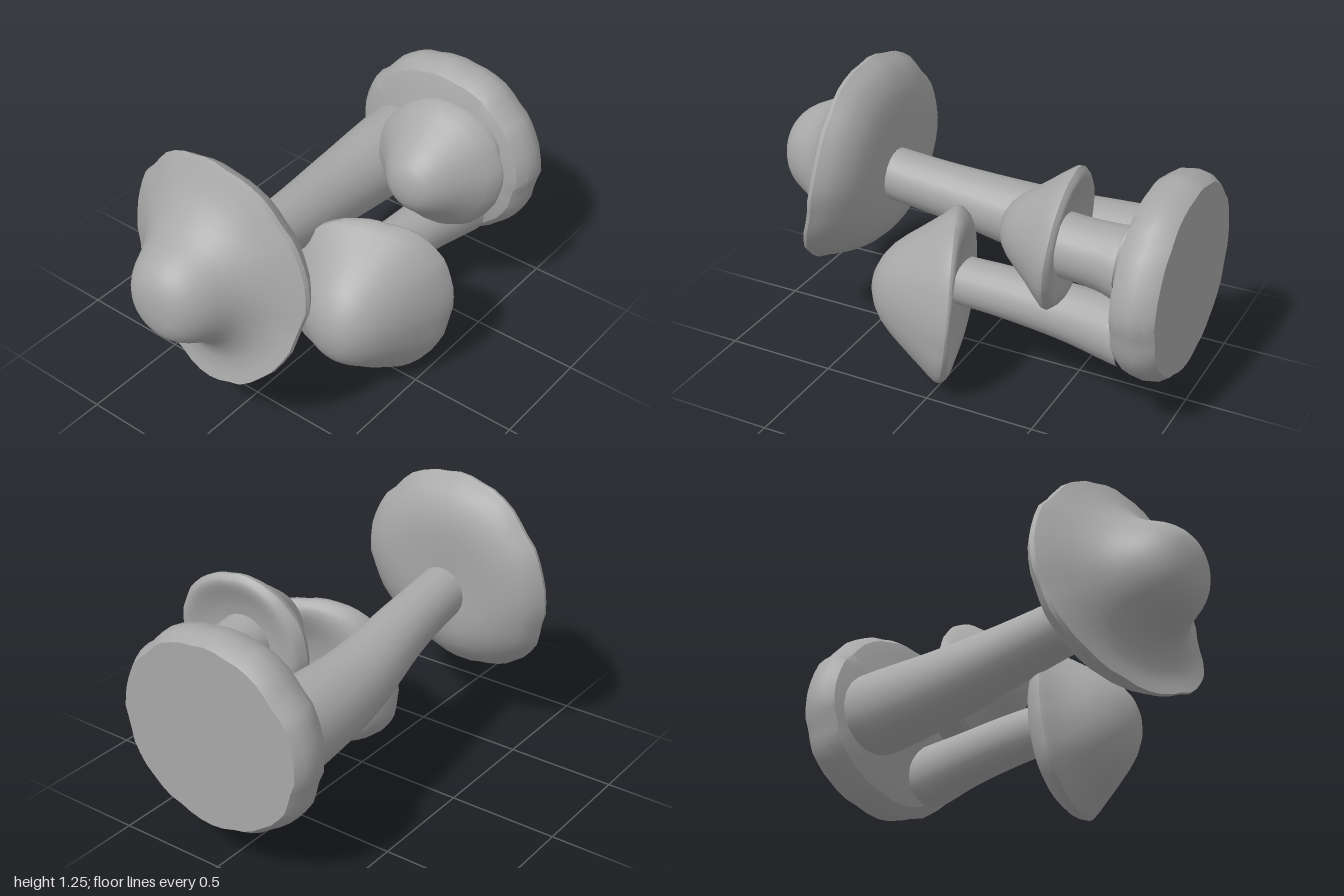
import * as THREE from 'three';
import { toCreasedNormals } from 'three/addons/utils/BufferGeometryUtils.js';

const clay = new THREE.MeshStandardMaterial({ color: 0xa8a8a8 });
clay.name = 'grey clay';

function addMesh(parent, name, geometry) {
  geometry.computeVertexNormals();
  const mesh = new THREE.Mesh(toCreasedNormals(geometry, 0.6), clay);
  mesh.name = name;
  parent.add(mesh);
}

// Turned disc along z: profile of [radius fraction, z] from back to front.
// The rim is tilted, bent forward at top and bottom, curled forward at the
// lower left, squared off and made wavy; the crown can lean sideways.
function disc({
  profile, center, radius, tilt = [0, 0], bend = 0, curl = 0, square = 0, lean = 0, wave = 0.015, phase = 0, detail = 2,
}) {
  let points = profile.map(([r, z]) => new THREE.Vector2(r, z));
  if (detail > 1) points = new THREE.SplineCurve(points).getPoints((points.length - 1) * detail);
  points.forEach((p) => { p.x = Math.max(0, p.x); });
  const geometry = new THREE.LatheGeometry(points, 48).rotateX(Math.PI / 2);
  const pos = geometry.attributes.position;
  for (let i = 0; i < pos.count; i++) {
    const ux = pos.getX(i), uy = pos.getY(i), r2 = ux * ux + uy * uy;
    const a = Math.atan2(uy, ux);
    const b = a + phase;
    const ripple = Math.sin(7 * b) * 0.5 + Math.sin(12 * b + 1) * 0.5 + Math.sin(19 * b + 2) * 0.35;
    const k = 1 + wave * ripple * r2 * r2 + square * (1 - Math.cos(4 * a)) * r2;
    const x = ux * radius[0] * k, y = uy * radius[1] * k;
    const corner = Math.max(0, Math.cos(a + 0.9)) ** 4;
    const z = pos.getZ(i) + (tilt[0] * x + tilt[1] * y + bend * uy * uy + curl * corner) * r2;
    pos.setXYZ(i, center[0] + x + lean * Math.max(0, 1 - r2), center[1] + y, z);
  }
  return geometry;
}

// Curved, tapering stalk through stations of [x, y, z, radius].
function stalk(stations) {
  const path = new THREE.CatmullRomCurve3(stations.map(([x, y, z]) => new THREE.Vector3(x, y, z)));
  const girth = new THREE.SplineCurve(stations.map((s, i) => new THREE.Vector2(i, s[3])));
  const geometry = new THREE.CylinderGeometry(1, 1, 1, 20, 14, true).rotateX(Math.PI / 2);
  const pos = geometry.attributes.position;
  for (let i = 0; i < pos.count; i++) {
    const t = THREE.MathUtils.clamp(pos.getZ(i) + 0.5, 0, 1);
    const c = path.getPoint(t), r = girth.getPoint(t).y;
    pos.setXYZ(i, c.x + pos.getX(i) * r, c.y + pos.getY(i) * r, c.z);
  }
  return geometry;
}

export function createModel() {
  const model = new THREE.Group();
  model.name = 'mushroomCluster';

  // Lumpy base with a flat back and a domed front around the stalk roots
  addMesh(model, 'base', disc({
    profile: [[0, -1], [0.92, -1], [0.98, -0.96], [1, -0.91], [0.98, -0.85], [0.91, -0.805],
      [0.75, -0.78], [0.5, -0.76], [0.25, -0.72], [0, -0.7]],
    center: [0.02, 0.61], radius: [0.475, 0.44], wave: 0.02, detail: 1,
  }));

  const mushrooms = [
    {
      name: 'large',
      stem: [[-0.18, 0.58, -0.78, 0.195], [-0.165, 0.6, -0.3, 0.165], [-0.12, 0.67, 0.15, 0.13], [-0.1, 0.715, 0.48, 0.12]],
      cap: {
        profile: [[0, 0.47], [0.35, 0.46], [0.65, 0.465], [0.88, 0.51], [0.98, 0.56], [1, 0.6],
          [0.78, 0.665], [0.6, 0.74], [0.5, 0.81], [0.42, 0.89], [0.33, 0.95], [0.2, 0.99], [0, 1]],
        center: [-0.1, 0.76], radius: [0.485, 0.49], tilt: [0.05, -0.12], bend: 0.065, curl: 0.06, wave: 0.015,
      },
    },
    {
      name: 'medium',
      stem: [[0.17, 0.37, -0.78, 0.145], [0.14, 0.38, -0.5, 0.125], [0.125, 0.39, -0.2, 0.115], [0.12, 0.39, 0.02, 0.11]],
      cap: {
        profile: [[0, 0.02], [0.4, 0], [0.7, -0.04], [0.88, -0.05], [0.98, -0.02], [1, 0.02],
          [0.88, 0.09], [0.7, 0.19], [0.5, 0.285], [0.25, 0.345], [0, 0.358]],
        center: [0.245, 0.385], radius: [0.335, 0.38], tilt: [-0.4, -0.11], bend: 0.025,
        square: 0.025, lean: 0.035, wave: 0.01, phase: 1,
      },
    },
    {
      name: 'small',
      stem: [[0.215, 0.725, -0.78, 0.16], [0.22, 0.74, -0.7, 0.145], [0.225, 0.75, -0.6, 0.138], [0.23, 0.76, -0.5, 0.138]],
      cap: {
        profile: [[0, -0.5], [0.5, -0.52], [0.75, -0.54], [0.9, -0.545], [0.98, -0.525], [1, -0.495],
          [0.73, -0.4], [0.47, -0.3], [0.25, -0.25], [0, -0.24]],
        center: [0.23, 0.79], radius: [0.3, 0.3], tilt: [-0.12, -0.1], wave: 0.01, phase: 2,
      },
    },
  ];

  // Each mushroom is a stalk ending inside a bell-shaped cap
  for (const { name, stem, cap } of mushrooms) {
    const group = new THREE.Group();
    group.name = `${name}Mushroom`;
    addMesh(group, `${name}Stem`, stalk(stem));
    addMesh(group, `${name}Cap`, disc(cap));
    model.add(group);
  }
  return model;
}
